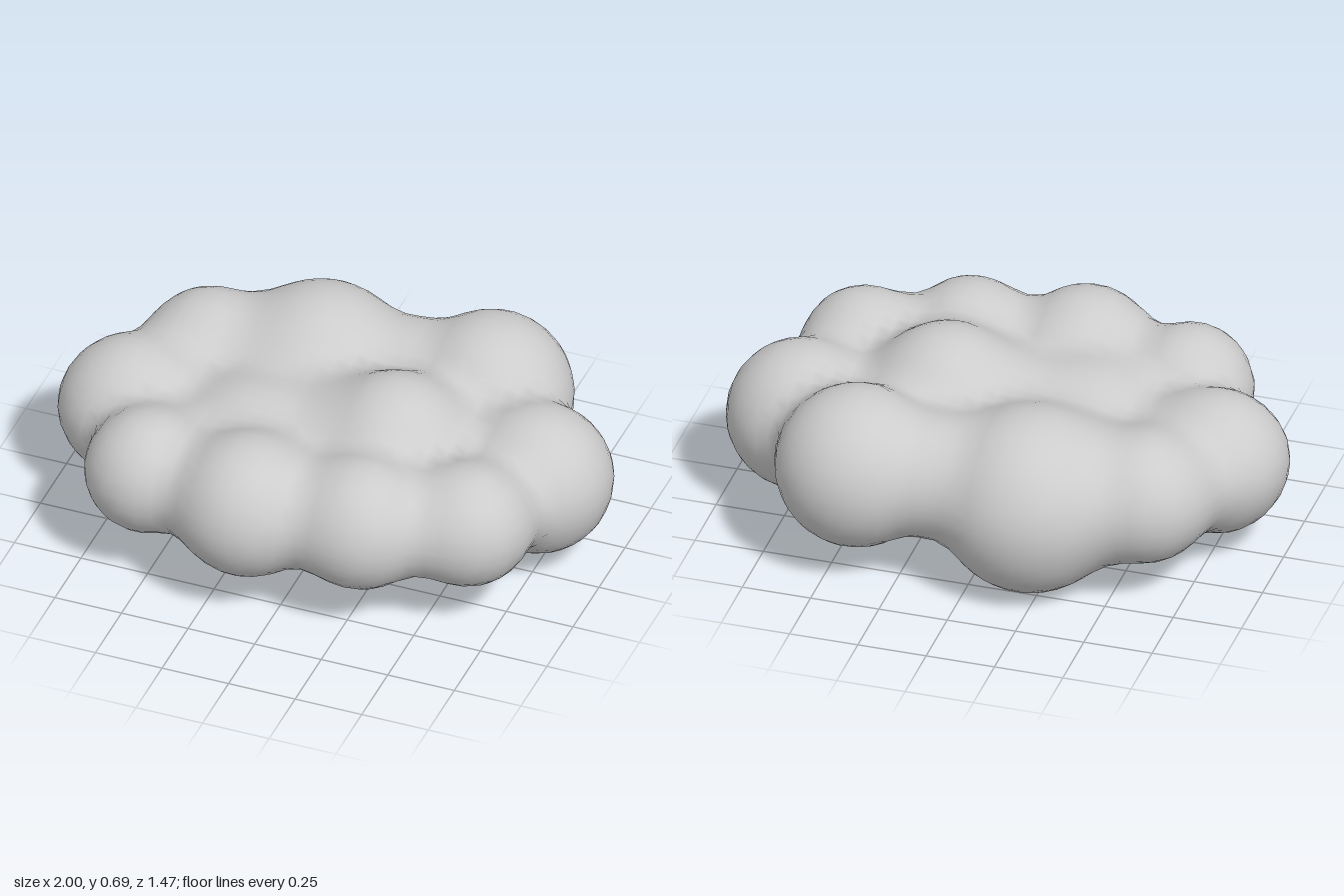
import * as THREE from 'three';

// Puffs of the cloud: x, y, z, radius
const puffs = [
  [-0.745, 0.34, 0.02, 0.255], // right end
  [0.73, 0.34, -0.10, 0.268],  // left end
  [-0.585, 0.37, -0.325, 0.238], // back row
  [-0.20, 0.335, -0.40, 0.333],
  [0.42, 0.39, -0.45, 0.29],
  [-0.53, 0.385, 0.41, 0.222], // front row
  [-0.13, 0.39, 0.475, 0.257],
  [0.28, 0.395, 0.435, 0.238],
  [0.63, 0.39, 0.305, 0.22],
  [0.24, 0.43, 0.02, 0.264],   // middle, upper and lower
  [0.02, 0.28, 0.03, 0.27],
  [-0.27, 0.36, 0.12, 0.20],   // fillers between the rows
  [-0.12, 0.31, 0.34, 0.19],
  [0.12, 0.39, -0.43, 0.19],
  [-0.09, 0.28, -0.18, 0.20],
];
const blend = 0.12;

// Smoothly blended distance to the puffs and the flat core
function field(x, y, z) {
  const q = Math.hypot((x + 0.05) / 0.7, (y - 0.365) / 0.19, z / 0.5);
  let d = (q - 1) * 0.19;
  for (const [px, py, pz, r] of puffs) {
    const e = Math.hypot(x - px, y - py, z - pz) - r;
    const h = Math.max(blend - Math.abs(d - e), 0) / blend;
    d = Math.min(d, e) - h * h * blend / 4;
  }
  return d;
}

function gradient(p) {
  const e = 0.004;
  return new THREE.Vector3(
    field(p.x + e, p.y, p.z) - field(p.x - e, p.y, p.z),
    field(p.x, p.y + e, p.z) - field(p.x, p.y - e, p.z),
    field(p.x, p.y, p.z + e) - field(p.x, p.y, p.z - e),
  ).divideScalar(2 * e);
}

// Skin the field with one vertex per crossed grid cell
function skinGeometry(step) {
  const min = [-1.13, -0.12, -0.88];
  const n = [2.26, 0.96, 1.76].map((s) => Math.ceil(s / step));
  const stride = [1, n[0] + 1, (n[0] + 1) * (n[1] + 1)];
  const at = (i, j, k) => i + j * stride[1] + k * stride[2];
  const values = [];
  for (let k = 0; k <= n[2]; k++)
    for (let j = 0; j <= n[1]; j++)
      for (let i = 0; i <= n[0]; i++)
        values.push(field(min[0] + i * step, min[1] + j * step, min[2] + k * step));

  const positions = [], normals = [], index = [], cell = new Map();
  for (let k = 0; k < n[2]; k++)
    for (let j = 0; j < n[1]; j++)
      for (let i = 0; i < n[0]; i++) {
        const sum = new THREE.Vector3();
        let count = 0;
        // Average the crossings on the twelve edges of the cell
        for (let c = 0; c < 8; c++)
          for (let a = 0; a < 3; a++) {
            if (c & (1 << a)) continue;
            const o = [c & 1, (c >> 1) & 1, (c >> 2) & 1];
            const id = at(i + o[0], j + o[1], k + o[2]);
            const f = values[id], g = values[id + stride[a]];
            if ((f < 0) === (g < 0)) continue;
            o[a] += f / (f - g);
            sum.add(new THREE.Vector3(...o));
            count++;
          }
        if (!count) continue;
        const p = sum.divideScalar(count).add(new THREE.Vector3(i, j, k))
          .multiplyScalar(step).add(new THREE.Vector3(...min));
        // Settle the vertex on the surface
        for (let s = 0; s < 2; s++) {
          const g = gradient(p);
          p.addScaledVector(g, -field(p.x, p.y, p.z) / Math.max(g.lengthSq(), 0.2));
        }
        cell.set(at(i, j, k), positions.length / 3);
        positions.push(p.x, p.y, p.z);
        normals.push(...gradient(p).normalize().toArray());
      }

  // Join the four cells around each crossed edge
  for (let k = 1; k < n[2]; k++)
    for (let j = 1; j < n[1]; j++)
      for (let i = 1; i < n[0]; i++)
        for (let a = 0; a < 3; a++) {
          const id = at(i, j, k);
          const inside = values[id] < 0;
          if (inside === (values[id + stride[a]] < 0)) continue;
          const b = stride[(a + 1) % 3], c = stride[(a + 2) % 3];
          const q = [id - b - c, id - c, id, id - b].map((v) => cell.get(v));
          if (!inside) q.reverse();
          index.push(q[0], q[1], q[2], q[0], q[2], q[3]);
        }

  const geometry = new THREE.BufferGeometry();
  geometry.setAttribute('position', new THREE.Float32BufferAttribute(positions, 3));
  geometry.setAttribute('normal', new THREE.Float32BufferAttribute(normals, 3));
  geometry.setIndex(index);
  return geometry;
}

export function createModel() {
  const group = new THREE.Group();
  group.name = 'cloud';
  const grey = new THREE.MeshStandardMaterial({ color: 0xcccccc });
  grey.name = 'cloudGrey';
  const body = new THREE.Mesh(skinGeometry(0.055), grey);
  body.name = 'cloudBody';
  group.add(body);
  return group;
}
